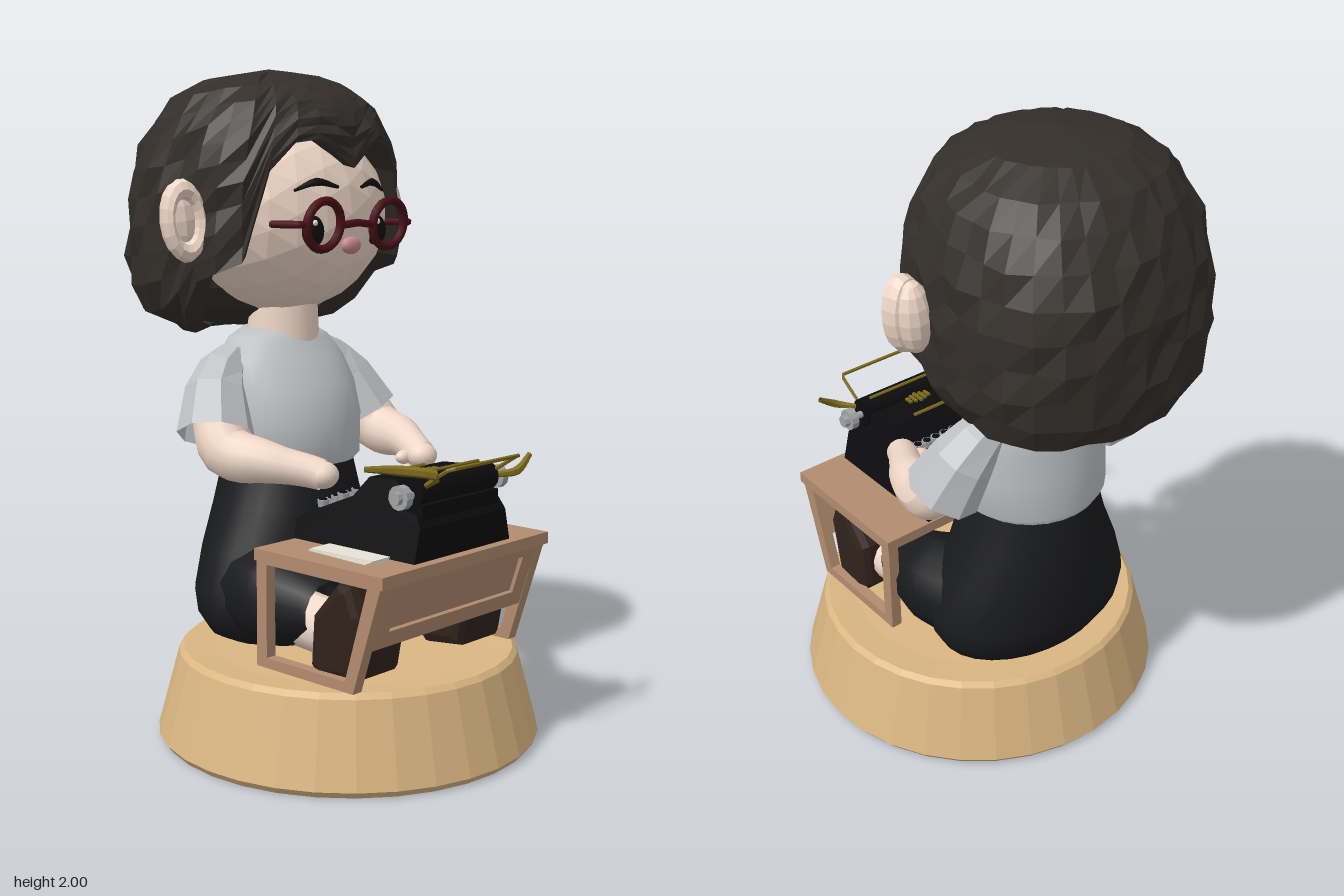
import * as THREE from 'three';

const mat = (color, flatShading = false) =>
  new THREE.MeshStandardMaterial({ color, flatShading, side: THREE.DoubleSide });
const M = {
  wood: mat(0xdab682, true), desk: mat(0xb28c6e, true), hair: mat(0x332e2a, true),
  face: mat(0xf0d8c8, true), skin: mat(0xf0d8c8), shirt: mat(0xbfc1c4), sleeve: mat(0xbfc1c4, true),
  skirt: mat(0x191a1c), frame: mat(0x4a0f18), black: mat(0x0c0c0e, true), eye: mat(0x120e0d),
  shoe: mat(0x30221b, true), gold: mat(0x7d6b1c, true), silver: mat(0xa0a2a4, true),
  paper: mat(0xe6e2d4, true), nose: mat(0xc98a90),
};
const V = (x, y, z) => new THREE.Vector3(x, y, z);

function add(parent, name, geo, material, x = 0, y = 0, z = 0) {
  const m = new THREE.Mesh(geo, material);
  m.name = name;
  m.position.set(x, y, z);
  parent.add(m);
  return m;
}
const ball = (rx, ry, rz, w = 16, h = 12) => new THREE.SphereGeometry(1, w, h).scale(rx, ry, rz);

// Surface wrapped around y from rows of points, bottom to top
function wrap(rows, cols, fn) {
  const pos = [], idx = [];
  for (let i = 0; i < rows; i++)
    for (let j = 0; j < cols; j++) {
      pos.push(...fn(i, (j / cols) * Math.PI * 2, j));
      if (i === rows - 1) continue;
      const k = (j + 1) % cols, a = i * cols + j, b = i * cols + k;
      idx.push(a, b, b + cols, a, b + cols, a + cols);
    }
  const g = new THREE.BufferGeometry();
  g.setAttribute('position', new THREE.Float32BufferAttribute(pos, 3));
  g.setIndex(idx);
  g.computeVertexNormals();
  return g;
}
// Oval sections [y, centreZ, rx, rz]
const loft = (s, n = 28) => wrap(s.length, n, (i, a) =>
  [s[i][2] * Math.sin(a), s[i][0], s[i][1] + s[i][3] * Math.cos(a)]);

// Tube whose radius follows a list
function limb(points, radii, sides = 14, seg = 14) {
  const curve = new THREE.CatmullRomCurve3(points);
  const g = new THREE.TubeGeometry(curve, seg, 1, sides);
  const p = g.attributes.position, v = V(0, 0, 0);
  for (let i = 0; i < p.count; i++) {
    const t = Math.floor(i / (sides + 1)) / seg, c = curve.getPointAt(t);
    const f = t * (radii.length - 1), k = Math.min(Math.floor(f), radii.length - 2);
    const r = THREE.MathUtils.lerp(radii[k], radii[k + 1], f - k);
    v.fromBufferAttribute(p, i).sub(c).multiplyScalar(r).add(c);
    p.setXYZ(i, v.x, v.y, v.z);
  }
  g.computeVertexNormals();
  return g;
}
const wire = (pts, r) => new THREE.TubeGeometry(
  new THREE.CatmullRomCurve3(pts, false, 'catmullrom', 0.1), 24, r, 6);

// Side profile of [z, y] points, extruded across x
const poly = (pts) => pts.map(([a, b]) => new THREE.Vector2(a, b));
function sideExtrude(pts, width, hole, bevel = 0) {
  const s = new THREE.Shape(poly(pts));
  if (hole) s.holes.push(new THREE.Path(poly(hole)));
  return new THREE.ExtrudeGeometry(s, { depth: width, bevelEnabled: bevel > 0, bevelSize: bevel,
    bevelThickness: bevel, bevelOffset: -bevel, bevelSegments: 2 })
    .rotateY(-Math.PI / 2).translate(width / 2, 0, 0);
}
// Linear lookup in sorted [key, value] pairs
function lookup(table, x) {
  if (x <= table[0][0]) return table[0][1];
  for (let i = 1; i < table.length; i++) {
    const [x0, y0] = table[i - 1], [x1, y1] = table[i];
    if (x <= x1) return y0 + (y1 - y0) * (x - x0) / (x1 - x0);
  }
  return table[table.length - 1][1];
}
const faceZ = (x, y) => -0.17 + 0.29 * Math.sqrt(Math.max(0, 1 - (x / 0.35) ** 2 - ((y - 1.565) / 0.3) ** 2));

function buildHair() {
  // Hairline height by angle from the front, and fullness by height
  const rim = [[0, 1.7], [10, 1.745], [20, 1.78], [30, 1.77], [40, 1.69], [50, 1.43], [60, 1.4], [72, 1.37], [84, 1.24], [110, 1.2], [180, 1.2]];
  const size = [[1.2, 0.52], [1.22, 0.74], [1.27, 0.9], [1.35, 0.98], [1.45, 1.01], [1.6, 1], [1.7, 0.97], [1.8, 0.9],
    [1.9, 0.75], [1.95, 0.59], [1.98, 0.38], [2, 0]];
  const bell = (x, mid, width) => Math.exp(-(((x - mid) / width) ** 2));
  const rows = 12, cols = 36;
  return wrap(rows + 1, cols, (row, a, j) => {
    const i = Math.max(0, row - 1), t = i / (rows - 1);
    const deg = (a > Math.PI ? Math.PI * 2 - a : a) * 180 / Math.PI;
    const low = lookup(rim, deg);
    const y = low + (2 - low) * (1 - (1 - t) ** 1.6) * (0.35 + 0.65 * t ** 0.4);
    const bump = i < rows - 1 ? 0.02 * Math.sin(j * 2.3 + i * 1.7) + 0.016 * Math.sin(j * 5.1 - i * 3.1) : 0;
    // Locks beside the face stand out, and the back left sweeps outwards
    const fade = THREE.MathUtils.clamp((1.92 - y) / 0.2, 0, 1);
    const flare = fade * (0.09 * bell(deg, 56, 14) + (a < Math.PI ? 0.12 * bell(deg, 132, 28) : 0));
    const s = lookup(size, y) * (1 + bump + flare) * (row === 0 ? 0.75 : 1);
    const cz = -0.27 + 0.04 * THREE.MathUtils.clamp((y - 1.6) / 0.4, 0, 1);
    // Fringe swells forward over the brow
    const fringe = 0.035 * Math.max(0, Math.cos(a)) ** 3 * Math.max(0, 1 - ((y - 1.85) / 0.1) ** 2);
    return [0.41 * s * Math.sin(a), y + (row === 0 ? 0.02 : 0), cz + 0.4 * s * Math.cos(a) + fringe];
  });
}

function buildHead() {
  const head = new THREE.Group();
  head.name = 'head';
  add(head, 'face', new THREE.IcosahedronGeometry(1, 3).scale(0.35, 0.3, 0.29), M.face, 0, 1.565, -0.17);
  add(head, 'hair', buildHair(), M.hair);
  add(head, 'hairUnderside', ball(0.33, 0.22, 0.3, 12, 8), M.hair, 0, 1.43, -0.36);
  add(head, 'neck', new THREE.CylinderGeometry(0.105, 0.115, 0.2, 18), M.skin, 0, 1.23, -0.17);
  add(head, 'nose', ball(0.038, 0.026, 0.02), M.nose, 0, 1.475, 0.115);
  for (const s of [-1, 1]) {
    add(head, 'eye', ball(0.04, 0.046, 0.025), M.eye, s * 0.135, 1.518, 0.09);
    add(head, 'eyeGlint', ball(0.009, 0.009, 0.006, 8, 6), M.paper, s * 0.135 - 0.012, 1.543, 0.111);
    const brow = [[0.05, 1.645], [0.12, 1.66], [0.19, 1.635]].map(([x, y]) => V(s * x, y, faceZ(x, y) + 0.004));
    add(head, 'eyebrow', limb(brow, [0.005, 0.012, 0.004], 6, 8), M.eye);
    // Ears, cupped towards the front
    const ear = new THREE.Group();
    ear.name = 'ear';
    ear.position.set(s * 0.43, 1.55, -0.15);
    ear.rotation.set(0, s * 0.25, -s * 0.1);
    add(ear, 'earBack', ball(0.056, 0.11, 0.05, 12, 8), M.face, 0, 0, -0.015);
    add(ear, 'earRim', new THREE.TorusGeometry(0.05, 0.017, 8, 18).scale(1, 1.8, 1.9), M.face, 0, 0, 0.02);
    head.add(ear);
    // Glasses
    add(head, 'lensRim', new THREE.TorusGeometry(0.07, 0.013, 8, 24), M.frame, s * 0.14, 1.537, 0.138).rotation.x = 0.13;
    add(head, 'glassesArm', wire([V(s * 0.2, 1.54, 0.138), V(s * 0.237, 1.54, 0.134), V(s * 0.245, 1.54, 0.03)], 0.011), M.frame);
  }
  add(head, 'glassesBridge', wire([V(-0.07, 1.535, 0.138), V(0, 1.542, 0.142), V(0.07, 1.535, 0.138)], 0.012), M.frame);
  return head;
}

function buildBody() {
  const body = new THREE.Group();
  body.name = 'body';
  add(body, 'shirt', loft([[0.79, -0.155, 0.19, 0.19], [0.83, -0.15, 0.235, 0.215], [0.95, -0.145, 0.24, 0.207],
    [1.05, -0.16, 0.237, 0.19], [1.13, -0.18, 0.225, 0.155], [1.19, -0.19, 0.18, 0.125], [1.22, -0.19, 0.115, 0.105], [1.2, -0.18, 0, 0]]), M.shirt);
  add(body, 'skirt', loft([[0.27, -0.12, 0, 0], [0.27, -0.12, 0.24, 0.15], [0.3, -0.125, 0.305, 0.205], [0.36, -0.135, 0.34, 0.23],
    [0.43, -0.14, 0.345, 0.238], [0.55, -0.145, 0.305, 0.232], [0.68, -0.15, 0.245, 0.222], [0.83, -0.15, 0.2, 0.2]]), M.skirt);
  for (const s of [-1, 1]) {
    const p = (x, y, z) => V(s * x, y, z);
    add(body, 'sleeve', limb([p(0.18, 1.135, -0.2), p(0.26, 1.07, -0.185), p(0.322, 0.92, -0.13)], [0.058, 0.094, 0.117], 8, 4), M.sleeve);
    add(body, 'arm', limb([p(0.31, 0.98, -0.14), p(0.327, 0.88, -0.07), p(0.3, 0.86, 0.06), p(0.24, 0.84, 0.17), p(0.22, 0.83, 0.21)],
      [0.075, 0.083, 0.07, 0.052, 0.045]), M.skin);
    add(body, 'hand', ball(0.047, 0.04, 0.047), M.skin, s * 0.22, 0.83, 0.21);
    add(body, 'thumb', ball(0.035, 0.022, 0.022), M.skin, s * 0.185, 0.825, 0.17);
    // Outstretched legs under the desk
    add(body, 'skirtLeg', limb([p(0.16, 0.44, -0.12), p(0.21, 0.435, 0.04), p(0.22, 0.43, 0.23)], [0.165, 0.148, 0.09]), M.skirt);
    add(body, 'ankle', limb([p(0.21, 0.39, 0.12), p(0.23, 0.38, 0.34)], [0.085, 0.08]), M.skin);
    add(body, 'shoe', sideExtrude([[0.27, 0.31], [0.3, 0.275], [0.43, 0.29], [0.465, 0.48], [0.43, 0.57], [0.375, 0.57], [0.28, 0.46]],
      0.16, null, 0.03), M.shoe, s * 0.235);
  }
  return body;
}

function buildDesk() {
  const desk = new THREE.Group();
  desk.name = 'desk';
  add(desk, 'deskTop', new THREE.BoxGeometry(0.75, 0.035, 0.49), M.desk, 0, 0.605, 0.33);
  for (const s of [-1, 1])
    add(desk, 'sideFrame', sideExtrude([[0.572, 0.615], [0.09, 0.615], [0.09, 0.275], [0.465, 0.275]], 0.035,
      [[0.515, 0.58], [0.13, 0.58], [0.13, 0.305], [0.435, 0.305]]), M.desk, s * 0.352);
  // Sloping front panel with a recessed field
  const front = new THREE.Group();
  front.name = 'frontPanel';
  front.position.set(0, 0.505, 0.524);
  front.rotation.x = 0.313;
  const rect = (w, h) => poly([[-w, -h], [w, -h], [w, h], [-w, h]]);
  const rim = new THREE.Shape(rect(0.365, 0.11));
  rim.holes.push(new THREE.Path(rect(0.28, 0.06)));
  add(front, 'panelRim', new THREE.ExtrudeGeometry(rim, { depth: 0.022, bevelEnabled: false }), M.desk, 0, 0, -0.01);
  add(front, 'panelField', new THREE.BoxGeometry(0.62, 0.14, 0.01), M.desk, 0, 0, -0.005);
  desk.add(front);
  // Loose sheets
  for (let i = 0; i < 3; i++)
    add(desk, 'paper', new THREE.BoxGeometry(0.22, 0.003, 0.23), M.paper, -0.19 + i * 0.004, 0.625 + i * 0.003, 0.345).rotation.y = -0.06 + i * 0.04;
  return desk;
}

function buildTypewriter() {
  const t = new THREE.Group();
  t.name = 'typewriter';
  const shell = sideExtrude([[0.09, 0.625], [0.55, 0.625], [0.55, 0.72], [0.53, 0.755], [0.45, 0.765], [0.45, 0.83],
    [0.43, 0.84], [0.34, 0.835], [0.29, 0.775], [0.1, 0.695], [0.085, 0.68]], 0.43);
  const p = shell.attributes.position;
  for (let i = 0; i < p.count; i++) p.setX(i, p.getX(i) * (1 - 1.1 * (p.getY(i) - 0.625)));
  shell.computeVertexNormals();
  add(t, 'shell', shell, M.black);
  // Round keys in four staggered rows
  for (let r = 0; r < 4; r++)
    for (let k = 0; k < 9; k++) {
      const x = -0.15 + k * 0.036 + (r % 2) * 0.016, y = 0.728 + r * 0.016, z = 0.145 + r * 0.04;
      add(t, 'key', new THREE.CylinderGeometry(0.018, 0.015, 0.022, 8), M.silver, x, y, z);
      add(t, 'keyCap', new THREE.CylinderGeometry(0.013, 0.013, 0.003, 8), M.black, x, y + 0.0115, z);
    }
  // Carriage, knobs and brass levers
  const across = (r, len, n = 16) => new THREE.CylinderGeometry(r, r, len, n).rotateZ(Math.PI / 2);
  add(t, 'platen', across(0.042, 0.34), M.black, 0, 0.815, 0.5);
  add(t, 'platenAxle', across(0.012, 0.44, 8), M.silver, 0, 0.805, 0.5);
  add(t, 'carriageRail', new THREE.BoxGeometry(0.34, 0.05, 0.05), M.black, 0, 0.755, 0.515);
  for (const s of [-1, 1]) {
    add(t, 'knob', across(0.035, 0.025, 12), M.silver, s * 0.215, 0.805, 0.5);
    add(t, 'knobHub', across(0.02, 0.02, 8), M.silver, s * 0.235, 0.805, 0.5);
  }
  add(t, 'paperRest', wire([V(-0.15, 0.84, 0.54), V(-0.15, 0.885, 0.61), V(-0.14, 0.89, 0.625), V(0.15, 0.89, 0.625),
    V(0.16, 0.885, 0.61), V(0.16, 0.84, 0.54)], 0.006), M.gold);
  add(t, 'paperBar', across(0.005, 0.28, 6), M.gold, 0, 0.86, 0.49);
  add(t, 'returnLever', limb([V(-0.31, 0.89, 0.45), V(-0.24, 0.885, 0.51), V(-0.17, 0.87, 0.59), V(-0.15, 0.83, 0.53)],
    [0.008, 0.015, 0.015, 0.008], 6, 10), M.gold);
  add(t, 'releaseLever', limb([V(0.17, 0.82, 0.53), V(0.22, 0.83, 0.57), V(0.28, 0.87, 0.57)], [0.008, 0.014, 0.009], 6, 8), M.gold);
  add(t, 'ribbonBar', across(0.006, 0.14, 6), M.gold, 0, 0.838, 0.345);
  for (let i = -2; i <= 2; i++)
    add(t, 'typeBar', new THREE.BoxGeometry(0.01, 0.008, 0.05 - Math.abs(i) * 0.01), M.gold, i * 0.018, 0.842, 0.42);
  return t;
}

export function createModel() {
  const model = new THREE.Group();
  model.name = 'typistFigure';
  const profile = poly([[0, 0], [0.565, 0], [0.58, 0.02], [0.515, 0.26], [0.5, 0.275], [0.41, 0.27], [0, 0.27]]);
  add(model, 'base', new THREE.LatheGeometry(profile, 32), M.wood, 0, 0, 0.107);
  model.add(buildHead(), buildBody(), buildDesk(), buildTypewriter());
  return model;
}
